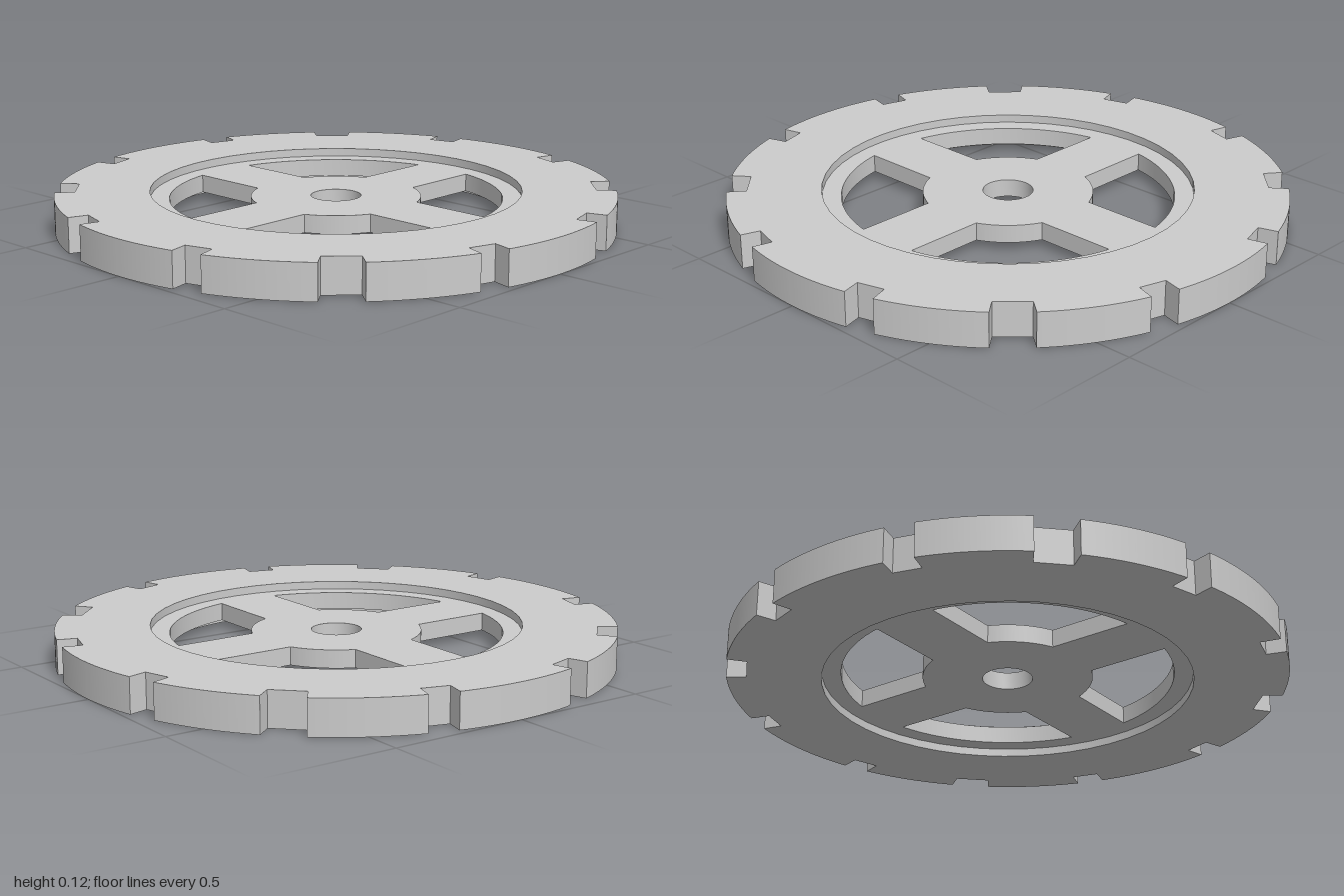
import * as THREE from 'three';
import { toCreasedNormals } from 'three/addons/utils/BufferGeometryUtils.js';

const HEIGHT = 0.125;
const RIM_INNER = 0.665;
const rad = THREE.MathUtils.degToRad;

// Extrude a flat outline upwards from height y0 to y1
function slab(name, shape, y0, y1, material) {
  const geo = new THREE.ExtrudeGeometry(shape, { depth: y1 - y0, bevelEnabled: false, curveSegments: 24 });
  geo.rotateX(-Math.PI / 2);
  geo.translate(0, y0, 0);
  const mesh = new THREE.Mesh(toCreasedNormals(geo, rad(25)), material);
  mesh.name = name;
  return mesh;
}

function circleHole(r) {
  return new THREE.Path().absarc(0, 0, r, 0, Math.PI * 2, true);
}

// Outer rim: a circle interrupted by three notches per quarter
function rimShape() {
  const shape = new THREE.Shape();
  const notches = [
    { angle: 16.4, outer: 0.052, inner: 0.05 },
    { angle: 45, outer: 0.073, inner: 0.064 },
    { angle: 73.6, outer: 0.052, inner: 0.05 },
  ];
  const floor = 0.927;
  let previousEnd = rad(-16.4) + Math.asin(0.052);
  for (let quarter = 0; quarter < 4; quarter++) {
    for (const { angle, outer, inner } of notches) {
      const a = rad(angle + quarter * 90);
      const half = Math.asin(outer);
      shape.absarc(0, 0, 1, previousEnd, a - half, false);
      for (const side of [-inner, inner]) {
        shape.lineTo(
          floor * Math.cos(a) - side * Math.sin(a),
          floor * Math.sin(a) + side * Math.cos(a),
        );
      }
      previousEnd = a + half;
    }
  }
  shape.closePath();
  shape.holes.push(circleHole(RIM_INNER));
  return shape;
}

// Spoked centre: a disc with four windows, leaving hub, spokes and ledge
function spokeShape() {
  const shape = new THREE.Shape().absarc(0, 0, RIM_INNER + 0.005, 0, Math.PI * 2, false);
  const windowOuter = 0.596, hub = 0.305, halfSpoke = 0.12;
  const a = Math.asin(halfSpoke / windowOuter);
  const b = Math.asin(halfSpoke / hub);
  for (let i = 0; i < 4; i++) {
    const start = i * Math.PI / 2, end = start + Math.PI / 2;
    const opening = new THREE.Path();
    opening.absarc(0, 0, windowOuter, start + a, end - a, false);
    opening.absarc(0, 0, hub, end - b, start + b, true);
    opening.closePath();
    shape.holes.push(opening);
  }
  shape.holes.push(circleHole(0.09));
  return shape;
}

export function createModel() {
  const group = new THREE.Group();
  group.name = 'notchedWheel';
  const material = new THREE.MeshStandardMaterial({ color: 0xcccccc });
  group.add(slab('notchedRim', rimShape(), 0, HEIGHT, material));
  // Centre is recessed equally on both faces
  group.add(slab('hubAndSpokes', spokeShape(), 0.03, HEIGHT - 0.03, material));
  return group;
}
